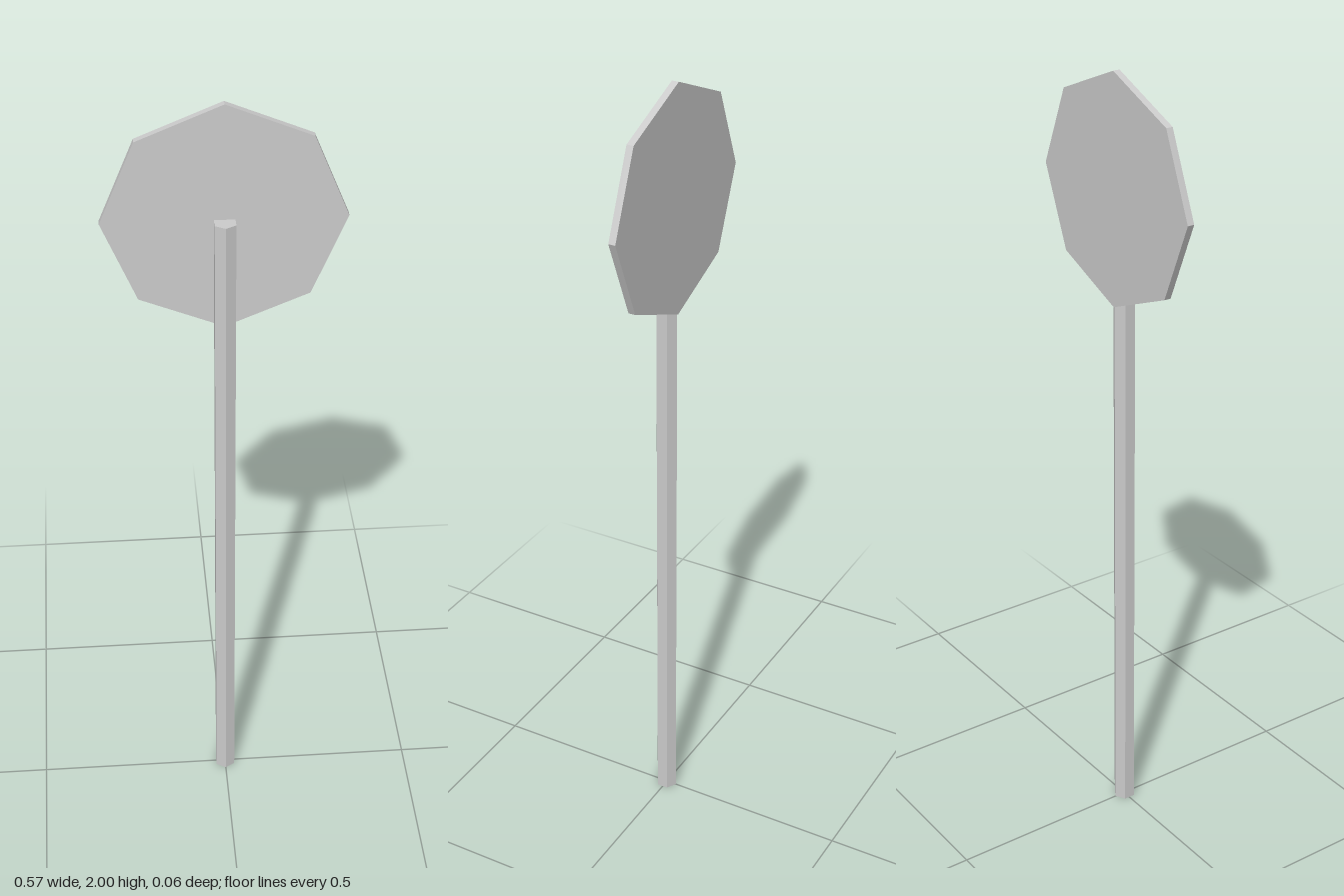
import * as THREE from 'three';

const POLE_RADIUS = 0.0285;
const PLATE_RADIUS = 0.285;
const PLATE_DEPTH = 0.0177;
const PLATE_Y = 2 - PLATE_RADIUS;

export function createModel() {
  const group = new THREE.Group();
  group.name = 'signpost';
  const material = new THREE.MeshStandardMaterial({ color: 0xcccccc, flatShading: true });

  // Six-sided pole, an edge facing forward, ending at the plate's centre
  const pole = new THREE.Mesh(
    new THREE.CylinderGeometry(POLE_RADIUS, POLE_RADIUS, PLATE_Y, 6), material);
  pole.name = 'pole';
  pole.position.set(0, PLATE_Y / 2, 0.001);
  group.add(pole);

  // Thin octagonal plate, a corner pointing up, behind the pole
  const plate = new THREE.Mesh(
    new THREE.CylinderGeometry(PLATE_RADIUS, PLATE_RADIUS, PLATE_DEPTH, 8), material);
  plate.name = 'signPlate';
  plate.rotation.x = Math.PI / 2;
  plate.position.set(0, PLATE_Y, -0.0299 + PLATE_DEPTH / 2);
  group.add(plate);

  return group;
}
